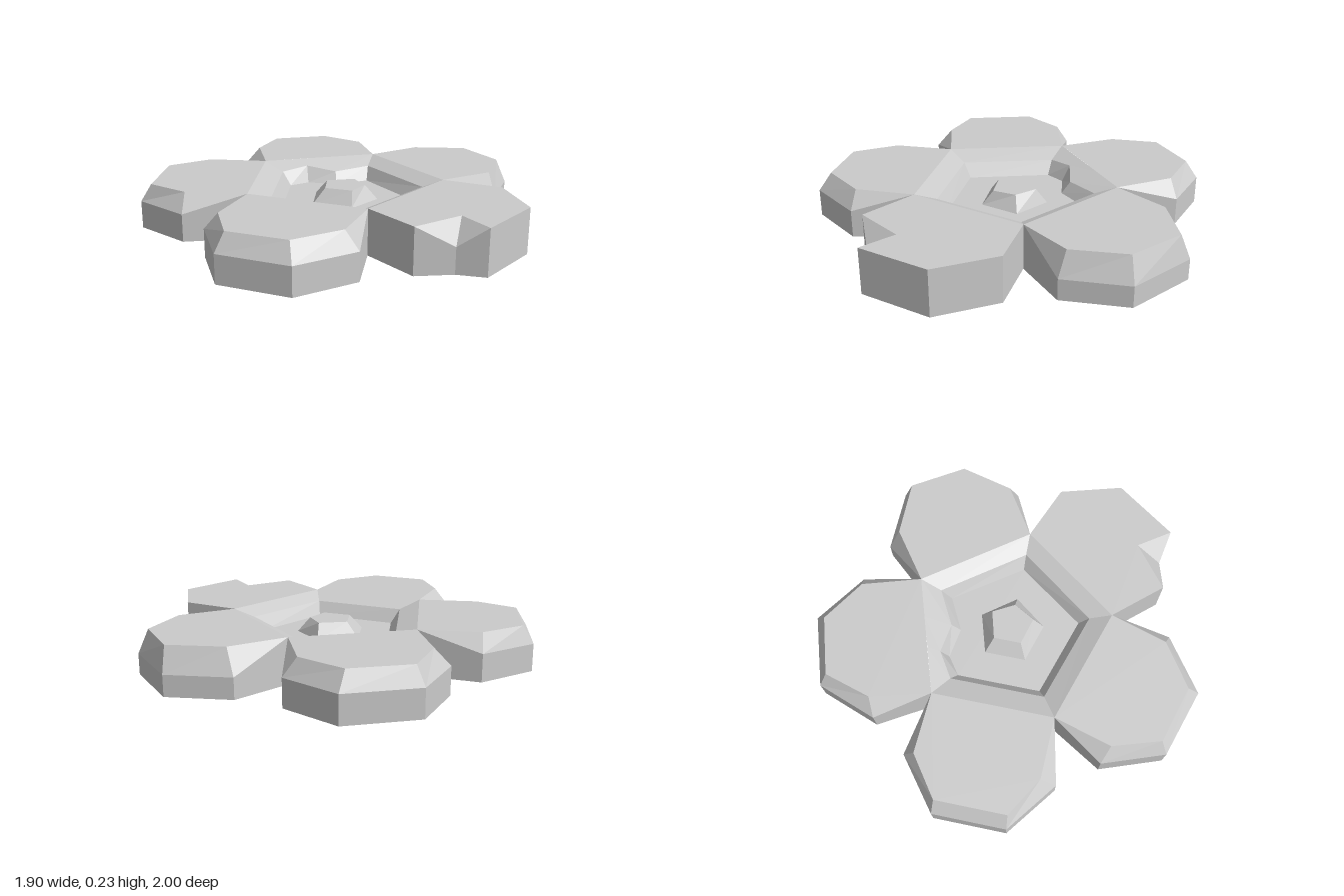
import * as THREE from 'three';

const TOP = 0.23, FLOOR = 0.12;
const material = new THREE.MeshStandardMaterial({ color: 0xcccccc, flatShading: true });

// Lift [x, z] points to height y; a third entry overrides the height.
const lift = (points, y) => points.map(([x, z, h = y]) => new THREE.Vector3(x, h, z));

// Collects triangles into one flat-shaded mesh, skipping empty ones.
function makeMesh(name, triangles) {
  const solid = triangles.filter((t) => new THREE.Triangle(...t).getArea() > 1e-7);
  const geometry = new THREE.BufferGeometry().setFromPoints(solid.flat());
  geometry.computeVertexNormals();
  const mesh = new THREE.Mesh(geometry, material);
  mesh.name = name;
  return mesh;
}

// Strip between an outer/lower row and an inner/upper row, both anticlockwise from above.
function band(outer, inner, closed = false) {
  const out = [], n = outer.length;
  for (let i = 0; i < (closed ? n : n - 1); i++) {
    const j = (i + 1) % n;
    out.push([outer[i], outer[j], inner[j]], [outer[i], inner[j], inner[i]]);
  }
  return out;
}

// Flat cap facing up or down.
function cap(points, up = true) {
  const flat = points.map((p) => new THREE.Vector2(p.x, -p.z));
  return THREE.ShapeUtils.triangulateShape(flat, []).map((face) => {
    const t = face.map((i) => points[i]);
    const normal = new THREE.Triangle(...t).getNormal(new THREE.Vector3());
    return (normal.y > 0) === up ? t : t.reverse();
  });
}

// Notches where neighbouring petals meet, anticlockwise from above.
const notches = [[0.57, 0], [0.2, -0.505], [-0.39, -0.31], [-0.39, 0.31], [0.2, 0.5]];

// Petals: outer edge and bevelled top edge between two notches.
const petals = [
  { name: 'petalBackLeftSide', bevel: 0.105,
    edge: [[0.855, -0.12], [0.945, -0.435], [0.73, -0.735], [0.405, -0.74]],
    rim: [[0.82, -0.16], [0.89, -0.43], [0.73, -0.685], [0.445, -0.685]] },
  { name: 'petalBack', bevel: 0.14,
    edge: [[0.175, -0.82], [-0.09, -1], [-0.44, -0.885], [-0.55, -0.58]],
    rim: [[0.11, -0.8], [-0.11, -0.94], [-0.4, -0.85], [-0.47, -0.61]] },
  { name: 'petalRightSide', bevel: 0.14,
    edge: [[-0.7, -0.385], [-0.955, -0.185], [-0.955, 0.185], [-0.7, 0.38]],
    rim: [[-0.7, -0.325], [-0.9, -0.18], [-0.9, 0.18], [-0.7, 0.3]] },
  { name: 'petalFront', bevel: 0.14,
    edge: [[-0.55, 0.575], [-0.44, 0.885], [-0.095, 1], [0.175, 0.815]],
    rim: [[-0.475, 0.605], [-0.4, 0.845], [-0.11, 0.935], [0.11, 0.79]] },
  // Square-edged petal with a chipped corner
  { name: 'chippedPetal', bevel: TOP,
    edge: [[0.405, 0.735], [0.59, 0.705, 0.13], [0.73, 0.73], [0.945, 0.43], [0.855, 0.115]],
    rim: [[0.405, 0.735], [0.62, 0.57], [0.73, 0.73], [0.945, 0.43], [0.855, 0.115]] },
];

export function createModel() {
  const group = new THREE.Group();
  const outline = [];

  petals.forEach(({ name, bevel, edge, rim }, i) => {
    const start = [...notches[i], TOP], end = [...notches[(i + 1) % 5], TOP];
    const middle = lift([start, ...edge, end], bevel);
    const top = lift([start, ...rim, end], TOP);
    const base = middle.map((p) => new THREE.Vector3(p.x, 0, p.z));
    outline.push(...base.slice(0, -1));
    group.add(makeMesh(name, [...band(base, middle), ...band(middle, top), ...cap(top)]));
  });

  // Flat underside
  group.add(makeMesh('underside', cap(outline, false)));

  // Sunken centre: gentle slope, steep step and floor, with a kink on the back edge
  const [a, b, c, d, e] = notches;
  const mouth = lift([a, b, [0, -0.44], [-0.16, -0.385], c, d, e], TOP);
  const lip = lift([[0.465, 0], [0.175, -0.395], [0, -0.3, 0.18], [-0.16, -0.32, 0.205],
    [-0.285, -0.24], [-0.285, 0.24], [0.175, 0.39]], 0.19);
  const floor = lift([[0.41, 0], [0.17, -0.34], [0.005, -0.255], [-0.15, -0.28],
    [-0.24, -0.215], [-0.24, 0.21], [0.165, 0.34]], FLOOR);
  group.add(makeMesh('centreSlope', band(mouth, lip, true)));
  group.add(makeMesh('centreStep', band(lip, floor, true)));
  group.add(makeMesh('centreFloor', cap(floor)));

  // Tapered five-sided button in the middle
  const foot = lift([[0.235, 0], [0.11, -0.165], [-0.09, -0.105], [-0.09, 0.105], [0.11, 0.165]], FLOOR);
  const crown = lift([[0.17, 0], [0.11, -0.108], [-0.03, -0.07], [-0.03, 0.07], [0.11, 0.108]], 0.195);
  group.add(makeMesh('centreButton', [...band(foot, crown, true), ...cap(crown)]));

  return group;
}
